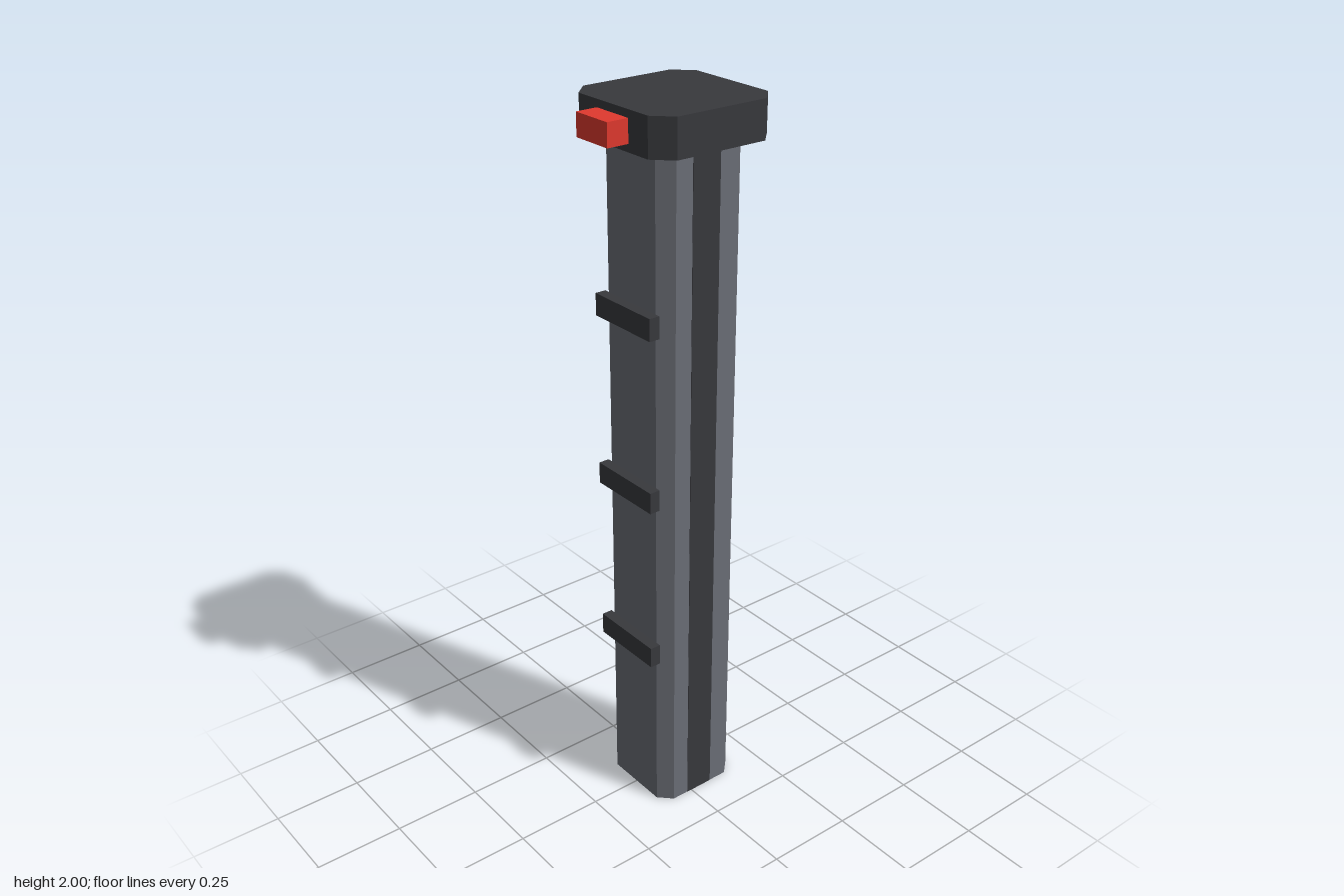
import * as THREE from 'three';

const CENTRE_Z = -0.03;

const paint = (color) => new THREE.MeshStandardMaterial({ color, flatShading: true });

// Upright square prism with chamfered corners
function chamferedPrism(name, half, chamfer, y0, y1, material) {
  const h = half, i = half - chamfer;
  const corners = [[i, -h], [h, -i], [h, i], [i, h], [-i, h], [-h, i], [-h, -i], [-i, -h]];
  const shape = new THREE.Shape(corners.map(([x, y]) => new THREE.Vector2(x, y)));
  const geometry = new THREE.ExtrudeGeometry(shape, { depth: y1 - y0, bevelEnabled: false });
  geometry.rotateX(-Math.PI / 2).translate(0, y0, CENTRE_Z);
  const mesh = new THREE.Mesh(geometry, material);
  mesh.name = name;
  return mesh;
}

function block(name, size, position, material) {
  const mesh = new THREE.Mesh(new THREE.BoxGeometry(...size), material);
  mesh.position.set(...position);
  mesh.name = name;
  return mesh;
}

export function createModel() {
  const model = new THREE.Group();
  model.name = 'magazine';
  const metal = paint(0x6b6e76);
  const dark = paint(0x38393d);
  const red = paint(0xe0392e);

  // Long body and wider end cap
  model.add(chamferedPrism('body', 0.13, 0.035, 0, 1.9, metal));
  model.add(chamferedPrism('cap', 0.18, 0.0475, 1.9, 2, dark));

  // Flush dark strip along the left side
  model.add(block('sideStrip', [0.02, 1.9, 0.084], [0.121, 0.95, -0.027], dark));

  // Raised ribs across the front
  for (const y of [0.51, 0.99, 1.47]) {
    model.add(block('rib', [0.22, 0.06, 0.03], [0, y, 0.115], dark));
  }

  // Red catch on the front of the cap
  model.add(block('catch', [0.12, 0.06, 0.07], [0, 1.95, 0.175], red));
  return model;
}
